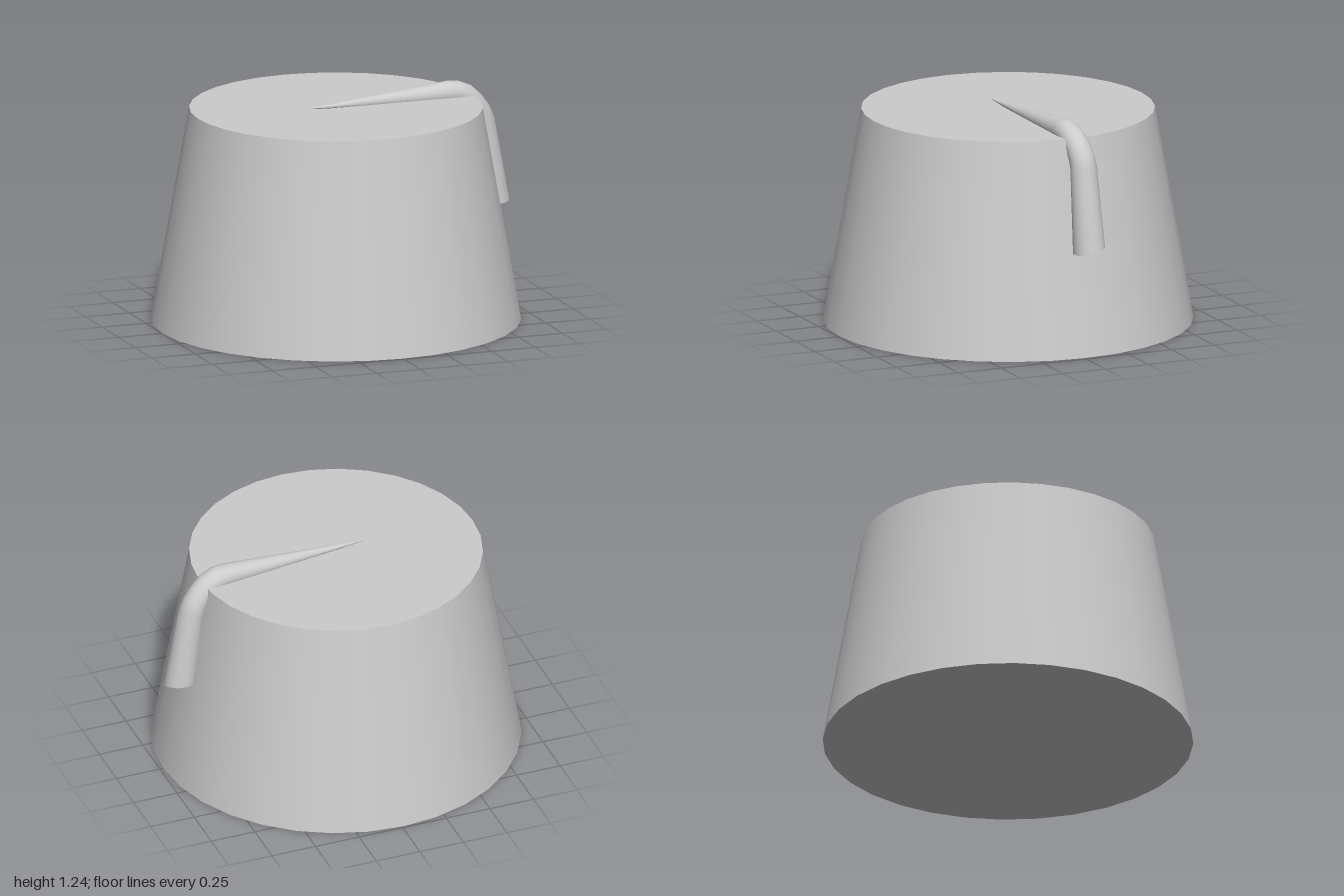
import * as THREE from 'three';

const material = new THREE.MeshStandardMaterial({ color: 0xcccccc });
const SIDES = 24;

// Smooth tube of varying radius with a flat cap on its last ring.
// Each station: [x, y, z, radius]
function taperedCord(stations, endDirection) {
  const centers = stations.map(([x, y, z]) => new THREE.Vector3(x, y, z));
  const last = centers.length - 1;
  const pos = [], index = [];
  centers.forEach((c, i) => {
    const t = i === last ? endDirection.clone().normalize() : new THREE.Vector3()
      .add(centers[i + 1].clone().sub(c).normalize())
      .add(i > 0 ? c.clone().sub(centers[i - 1]).normalize() : new THREE.Vector3())
      .normalize();
    const s = new THREE.Vector3(0, 0, 1).addScaledVector(t, -t.z).normalize();
    const n = new THREE.Vector3().crossVectors(t, s);
    for (let k = 0; k < SIDES; k++) {
      const a = (k / SIDES) * Math.PI * 2, r = stations[i][3];
      const p = c.clone().addScaledVector(s, r * Math.cos(a)).addScaledVector(n, r * Math.sin(a));
      pos.push(p.x, p.y, p.z);
    }
  });
  for (let i = 0; i < last; i++) {
    for (let k = 0; k < SIDES; k++) {
      const a = i * SIDES + k, b = i * SIDES + (k + 1) % SIDES;
      index.push(a, b, a + SIDES, b, b + SIDES, a + SIDES);
    }
  }
  // cap with its own vertices, so its rim stays sharp
  const capStart = pos.length / 3;
  pos.push(...pos.slice(last * SIDES * 3));
  pos.push(...centers[last].toArray());
  for (let k = 0; k < SIDES; k++) {
    index.push(capStart + SIDES, capStart + k, capStart + (k + 1) % SIDES);
  }
  const g = new THREE.BufferGeometry();
  g.setAttribute('position', new THREE.Float32BufferAttribute(pos, 3));
  g.setIndex(index);
  g.computeVertexNormals();
  return g;
}

export function createModel() {
  const group = new THREE.Group();
  group.name = 'tasselledHat';

  // tapered hat body
  const body = new THREE.Mesh(new THREE.CylinderGeometry(0.785, 0.99, 1.16, 32), material);
  body.name = 'hatBody';
  body.position.set(-0.009, 0.58, 0);
  group.add(body);

  // tassel: thin at the crown centre, bending over the rim and hanging down
  const tassel = new THREE.Mesh(taperedCord([
    [-0.17, 1.168, 0.02, 0.002],
    [0.64, 1.175, -0.033, 0.065],
    [0.69, 1.17, -0.036, 0.066],
    [0.74, 1.148, -0.042, 0.067],
    [0.785, 1.105, -0.05, 0.068],
    [0.818, 1.06, -0.056, 0.07],
    [0.842, 1.005, -0.057, 0.072],
    [0.908, 0.572, -0.058, 0.088],
  ], new THREE.Vector3(0, -1, -0.2)), material);
  tassel.name = 'tassel';
  group.add(tassel);

  return group;
}
